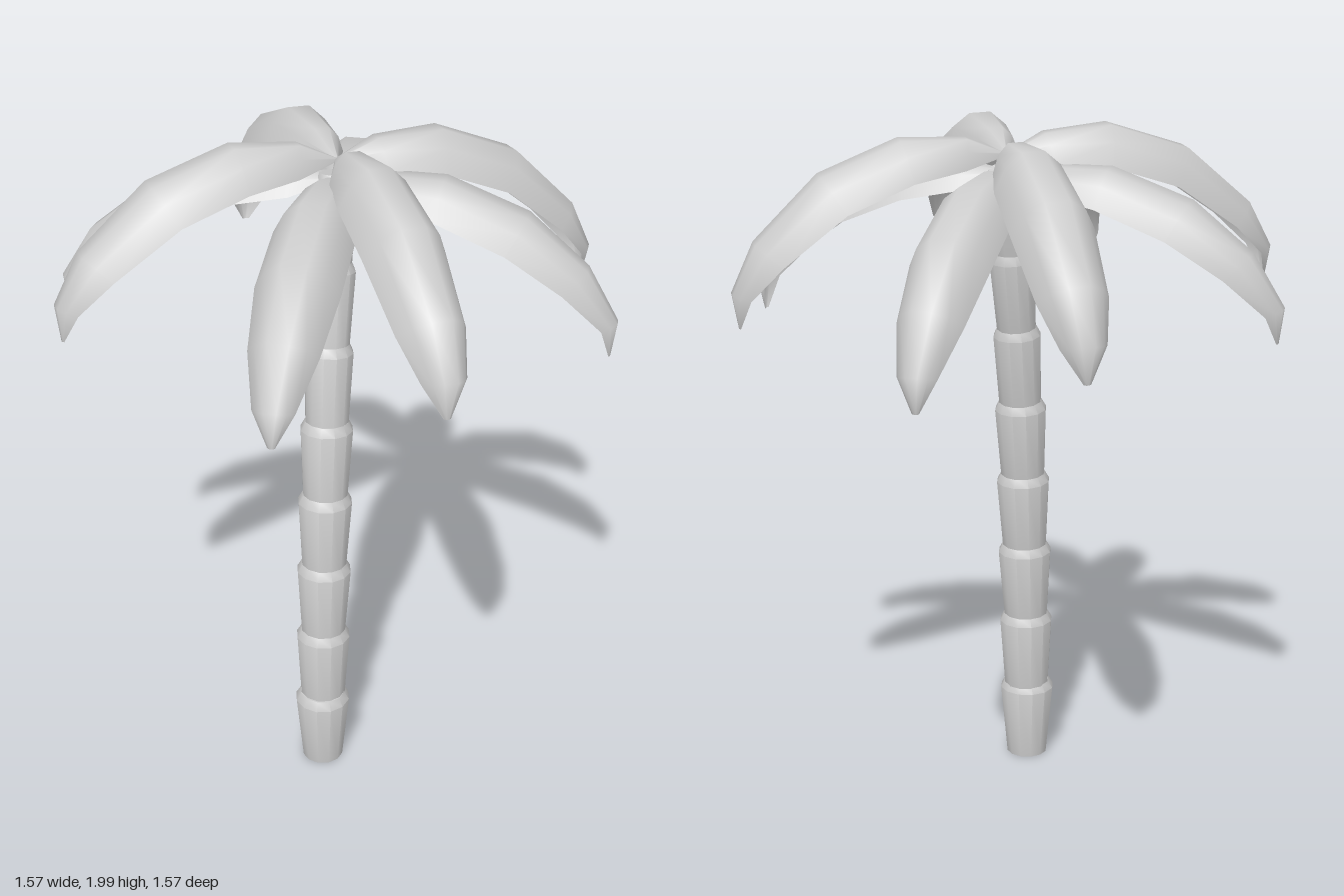
import * as THREE from 'three';
import { toCreasedNormals } from 'three/addons/utils/BufferGeometryUtils.js';

const grey = new THREE.MeshStandardMaterial({ color: 0xcccccc, side: THREE.DoubleSide });
grey.name = 'pale grey';

// Trunk joints: height, z and flared radius at the top of each segment
const JOINTS = [
  [0, 0.17, 0.077], [0.22, 0.165, 0.083], [0.45, 0.157, 0.081], [0.68, 0.143, 0.081],
  [0.91, 0.125, 0.08], [1.14, 0.1, 0.077], [1.37, 0.065, 0.07], [1.6, 0.02, 0.066], [1.84, -0.03, 0.06],
];

// One flared segment with a bevelled shoulder, aimed along the trunk's curve
function trunkSegment(i) {
  const [y0, z0, r0] = JOINTS[i], [y1, z1, r1] = JOINTS[i + 1];
  const from = new THREE.Vector3(0, y0, z0), to = new THREE.Vector3(0, y1, z1);
  const dir = to.clone().sub(from), len = dir.length();
  const profile = [[0, 0], [r0 * 0.81, 0], [r1, len], [r1 * 0.82, len + 0.026], [0, len + 0.026]];
  const lathe = new THREE.LatheGeometry(profile.map(([x, y]) => new THREE.Vector2(x, y)), 12);
  const mesh = new THREE.Mesh(toCreasedNormals(lathe, 0.6), grey);
  mesh.name = 'trunkSegment';
  mesh.position.copy(from);
  // the lowest segment stays upright so its foot lies on the ground
  if (i > 0) mesh.quaternion.setFromUnitVectors(new THREE.Vector3(0, 1, 0), dir.normalize());
  return mesh;
}

// Frond cross-sections along the spine: reach, ridge height, half width, droop of the edges
const UPPER = [
  [0.0, 1.91, 0.008, 0.01], [0.11, 1.965, 0.07, 0.085], [0.3, 1.978, 0.105, 0.115], [0.53, 1.895, 0.113, 0.115],
  [0.72, 1.72, 0.095, 0.09], [0.79, 1.58, 0.062, 0.05], [0.775, 1.48, 0.01, 0.005],
];
const LOWER = [
  [0.0, 1.86, 0.02, 0.01], [0.11, 1.885, 0.085, 0.07], [0.3, 1.885, 0.11, 0.1], [0.53, 1.80, 0.112, 0.105],
  [0.7, 1.66, 0.092, 0.085], [0.79, 1.51, 0.055, 0.045], [0.775, 1.41, 0.01, 0.005],
];
// Arch across a frond: fraction of half width, fraction of droop
const ARCH = [[-1, 1], [-0.72, 0.42], [-0.3, 0.07], [0.3, 0.07], [0.72, 0.42], [1, 1]];

// Open arched shell lofted along +x
function frondGeometry(sections) {
  const pos = [], index = [], n = ARCH.length;
  sections.forEach(([r, y, w, droop], i) => {
    const a = sections[Math.max(i - 1, 0)], b = sections[Math.min(i + 1, sections.length - 1)];
    const l = Math.hypot(b[0] - a[0], b[1] - a[1]);
    const tx = (b[0] - a[0]) / l, ty = (b[1] - a[1]) / l;
    // edges hang perpendicular to the spine
    for (const [s, d] of ARCH) pos.push(r + ty * droop * d, y - tx * droop * d, s * w);
  });
  for (let i = 0; i < sections.length - 1; i++) {
    for (let j = 0; j < n - 1; j++) {
      const p = i * n + j, q = p + n;
      index.push(p, p + 1, q, p + 1, q + 1, q);
    }
  }
  const geo = new THREE.BufferGeometry();
  geo.setAttribute('position', new THREE.Float32BufferAttribute(pos, 3));
  geo.setIndex(index);
  geo.computeVertexNormals();
  return geo;
}

export function createModel() {
  const model = new THREE.Group();
  model.name = 'palmTree';

  const trunk = new THREE.Group();
  trunk.name = 'trunk';
  for (let i = 0; i < JOINTS.length - 1; i++) trunk.add(trunkSegment(i));
  model.add(trunk);

  // Crown of two whorls, leaning back with the trunk
  const crown = new THREE.Group();
  crown.name = 'crown';
  crown.position.y = 1.5;
  crown.rotation.x = -0.087;
  const whorls = [['upperFrond', UPPER, -57], ['lowerFrond', LOWER, 0.5]];
  for (const [name, sections, start] of whorls) {
    const geo = frondGeometry(sections).translate(0, -1.5, 0);
    for (let k = 0; k < 4; k++) {
      const frond = new THREE.Mesh(geo, grey);
      frond.name = name;
      frond.rotation.y = THREE.MathUtils.degToRad(start + k * 90);
      crown.add(frond);
    }
  }
  model.add(crown);
  return model;
}
